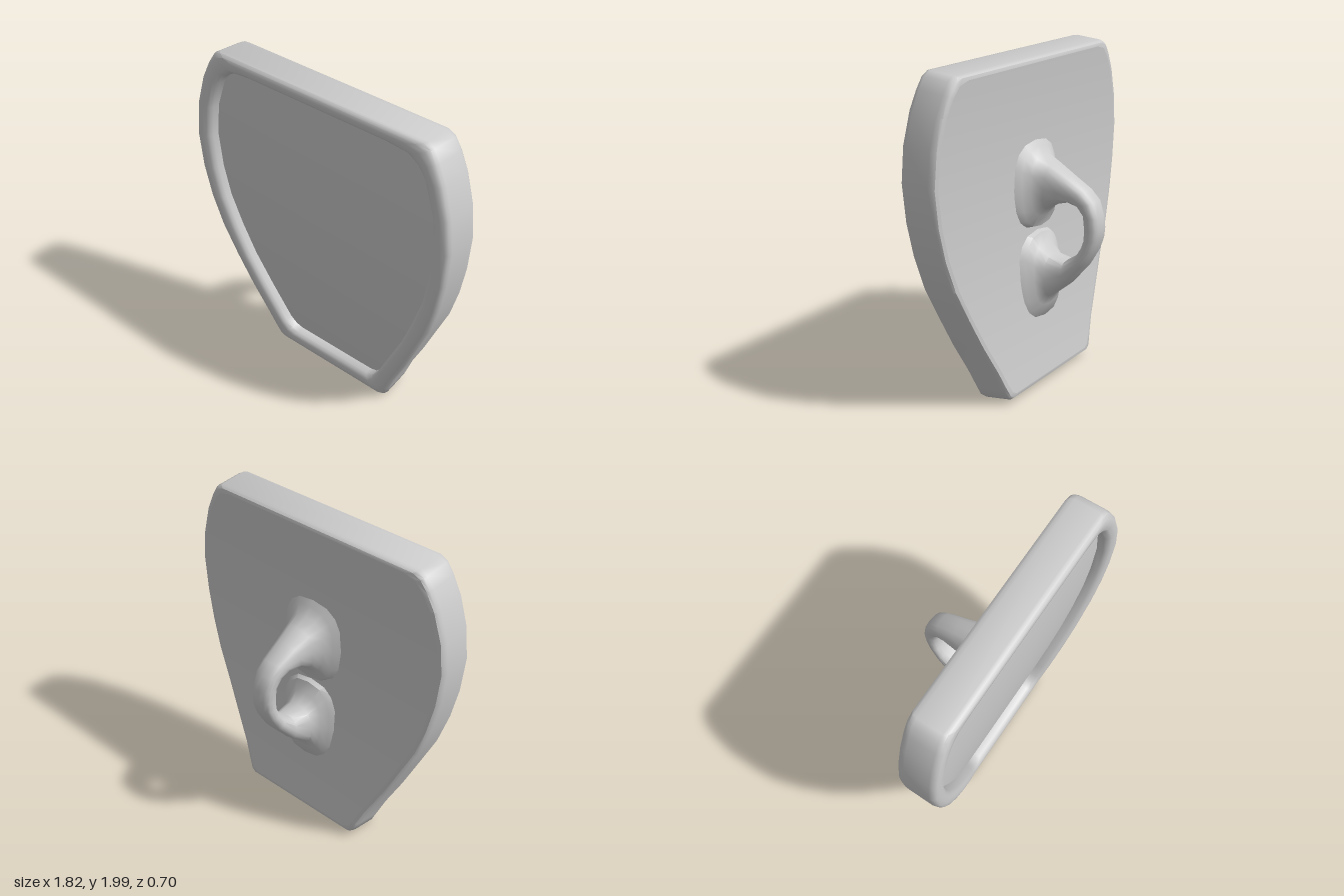
import * as THREE from 'three';
import { toCreasedNormals } from 'three/addons/utils/BufferGeometryUtils.js';

// Right half of the outer edge and of the inset panel, bottom to top (x, y)
const OUTER = [[.41, 0], [.435, .02], [.46, .08], [.51, .2], [.61, .4], [.7, .6], [.79, .8], [.85, 1],
  [.89, 1.2], [.91, 1.42], [.89, 1.62], [.84, 1.8], [.79, 1.91], [.75, 1.975], [.71, 2]];
const INNER = [[.28, .095], [.33, .11], [.37, .155], [.41, .24], [.49, .4], [.59, .6], [.67, .8], [.74, 1],
  [.78, 1.2], [.8, 1.42], [.78, 1.62], [.72, 1.8], [.67, 1.86], [.6, 1.9], [.45, 1.91]];

// Rim profile from back to front: [blend outer -> inner, depth behind the front]
const RIM = [[.3, .24], [.1, .235], [.02, .22], [0, .195], [0, .04], [.05, .018], [.2, .002], [.45, 0],
  [.75, .004], [.9, .016], [1, .035], [1, .075]];

// Handle sections, top foot to bottom foot: [outer z, outer y, inner z, inner y, half width]
const HANDLE = [
  [.14, 1.55, .14, .97, .25], [.085, 1.47, .07, .99, .18], [.05, 1.42, .04, 1.06, .14],
  [-.03, 1.385, 0, 1.11, .11], [-.13, 1.33, -.06, 1.15, .092], [-.25, 1.26, -.14, 1.175, .08],
  [-.31, 1.2, -.2, 1.165, .075], [-.34, 1.11, -.24, 1.12, .07], [-.347, 1.04, -.25, 1.04, .07],
  [-.34, .98, -.247, .97, .07], [-.31, .9, -.235, .93, .075], [-.25, .8, -.2, .87, .08],
  [-.13, .66, -.12, .815, .09], [-.02, .57, -.02, .83, .11], [.01, .51, .04, .88, .14],
  [.04, .43, .07, .95, .18], [.12, .37, .13, .97, .25]];

// Bend the flat shield gently backwards towards its ends
function bend(x, s, depth) {
  const k = (s - 1.35) / 7.4;
  return [x, s - depth * k, .35 - depth - k * (s - 1.35) / 2];
}

function quad(out, a, b, c, d) {
  out.push(...a, ...b, ...c, ...a, ...c, ...d);
}

// Skin between successive closed rings
function skin(out, rings) {
  for (let i = 0; i < rings.length - 1; i++) {
    const n = rings[i].length;
    for (let j = 0; j < n; j++) {
      const k = (j + 1) % n;
      quad(out, rings[i][j], rings[i][k], rings[i + 1][k], rings[i + 1][j]);
    }
  }
}

// Fill a mirrored ring with strips running from side to side
function cap(out, ring, front) {
  const n = ring.length;
  for (let i = 0; i < n / 2 - 1; i++) {
    const c = [ring[i], ring[i + 1], ring[n - 2 - i], ring[n - 1 - i]];
    if (!front) c.reverse();
    quad(out, ...c);
  }
}

function makeMesh(name, positions, crease) {
  const geo = new THREE.BufferGeometry();
  geo.setAttribute('position', new THREE.Float32BufferAttribute(positions, 3));
  const mesh = new THREE.Mesh(toCreasedNormals(geo, crease),
    new THREE.MeshStandardMaterial({ color: 0xcccccc }));
  mesh.name = name;
  return mesh;
}

function rimRing([t, depth]) {
  const half = OUTER.map(([x, y], i) => [x + (INNER[i][0] - x) * t, y + (INNER[i][1] - y) * t]);
  const right = half.map(([x, y]) => bend(x, y, depth));
  const left = half.map(([x, y]) => bend(-x, y, depth)).reverse();
  return [...right, ...left];
}

function handleRing([oz, oy, iz, iy, w]) {
  const ring = [], sides = 16;
  const round = v => Math.sign(v) * Math.abs(v) ** .75; // rounded-box section
  for (let j = 0; j < sides; j++) {
    const a = j / sides * Math.PI * 2;
    const c = round(Math.cos(a)), s = round(Math.sin(a));
    ring.push([w * s, (oy + iy) / 2 + (oy - iy) / 2 * c, (oz + iz) / 2 + (oz - iz) / 2 * c]);
  }
  return ring;
}

export function createModel() {
  const group = new THREE.Group();
  group.name = 'shield';

  // Raised rim with rounded edges
  const rings = RIM.map(rimRing);
  const rim = [];
  skin(rim, rings);
  group.add(makeMesh('rim', rim, .8));

  // Recessed front panel and plain back
  const panel = [], back = [];
  cap(panel, rings[rings.length - 1], true);
  cap(back, rings[0], false);
  group.add(makeMesh('frontPanel', panel, .5), makeMesh('backPanel', back, .5));

  // Looped grip with flared feet
  const handle = [];
  skin(handle, HANDLE.map(handleRing));
  group.add(makeMesh('handle', handle, .7));

  return group;
}
